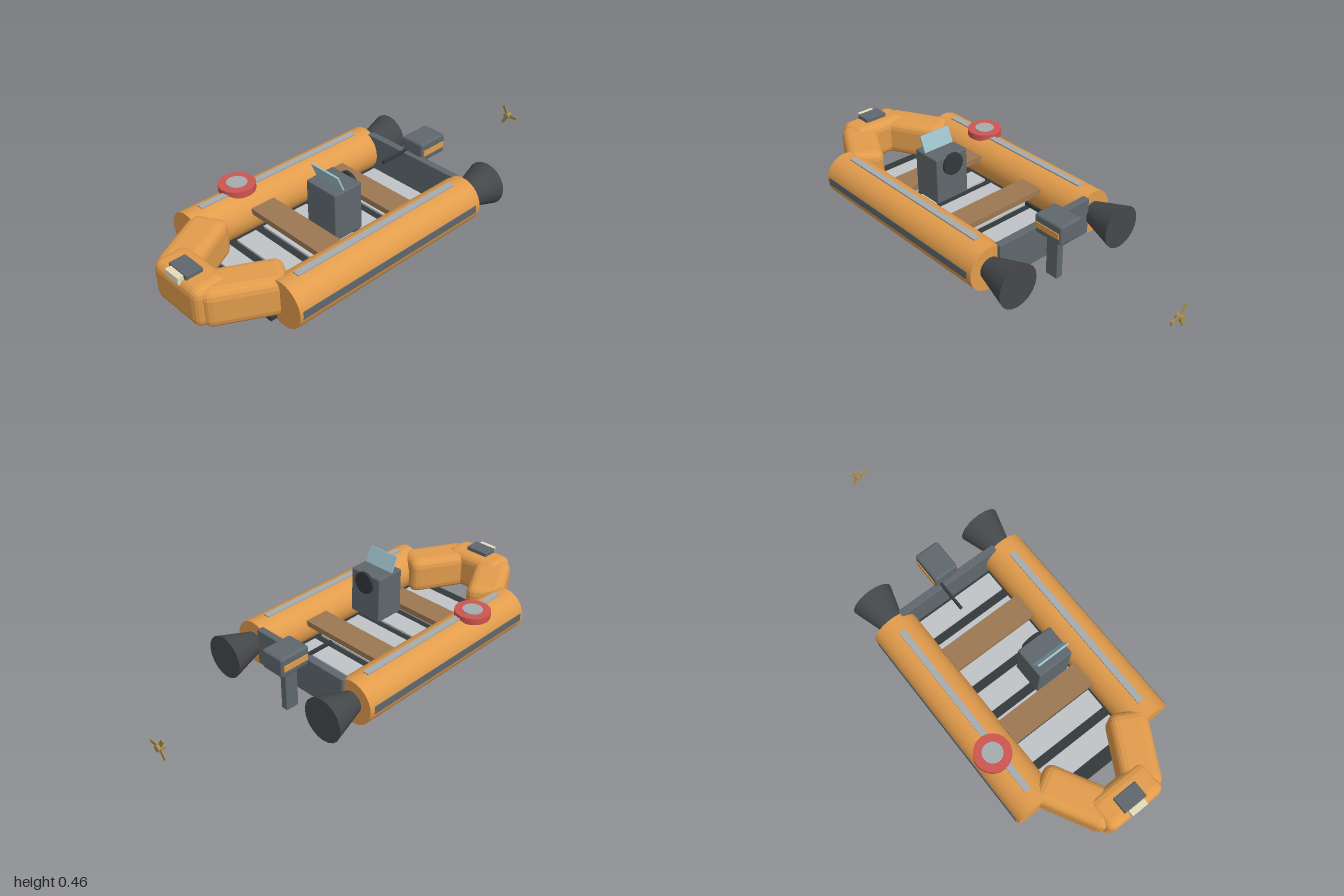
import * as THREE from 'three';
import { RoundedBoxGeometry } from 'three/addons/geometries/RoundedBoxGeometry.js';

const mat = (color, flatShading = false) => new THREE.MeshStandardMaterial({ color, flatShading });
const ORANGE = mat(0xe29c4c), ORANGE_FLAT = mat(0xe29c4c, true);
const GREY = mat(0x5f686d), DARK = mat(0x33383b), CONE = mat(0x45484b);
const LIGHT = mat(0xbfc4c7), STRIP = mat(0xa6abad), WOOD = mat(0x9c7852);
const RED = mat(0xcc5550), GLASS = mat(0x9cc0c8), CREAM = mat(0xe6dcbc), BRASS = mat(0xa58f55);

export function createModel() {
  const root = new THREE.Group();
  root.name = 'inflatableBoat';

  const add = (name, geometry, material, x, y, z, parent = root) => {
    const mesh = new THREE.Mesh(geometry, material);
    mesh.name = name;
    mesh.position.set(x, y, z);
    parent.add(mesh);
    return mesh;
  };
  // Box given by its [min, max] extent on each axis, with optional softened edges
  const box = (name, material, [x0, x1], [y0, y1], [z0, z1], round = 0) => {
    const size = [x1 - x0, y1 - y0, z1 - z0];
    const geometry = round ? new RoundedBoxGeometry(...size, 2, round) : new THREE.BoxGeometry(...size);
    return add(name, geometry, material, (x0 + x1) / 2, (y0 + y1) / 2, (z0 + z1) / 2);
  };
  // Cylinder lying along z; r0 is the radius at the rear end
  const cylinderZ = (rFront, rRear, z0, z1, sides) =>
    new THREE.CylinderGeometry(rFront, rRear, z1 - z0, sides).rotateX(Math.PI / 2);

  // Side tubes with their strips, stern cones and the angled bow sections
  for (const [side, s] of [['left', 1], ['right', -1]]) {
    add(side + 'Tube', cylinderZ(0.102, 0.102, -0.275, 0.735, 28), ORANGE, s * 0.302, 0.148, 0.23);
    add(side + 'SternCone', cylinderZ(0.05, 0.1, -0.44, -0.275, 20), CONE, s * 0.302, 0.15, -0.3575);
    add(side + 'TopStrip', new THREE.BoxGeometry(0.03, 0.014, 0.865), STRIP, s * 0.302, 0.248, 0.2325);
    add(side + 'RubStrake', new THREE.BoxGeometry(0.012, 0.035, 0.97), GREY, s * 0.399, 0.148, 0.235);
    const bow = add(side + 'BowSection', new RoundedBoxGeometry(0.17, 0.175, 0.33, 2, 0.04),
      ORANGE_FLAT, s * 0.158, 0.16, 0.8);
    bow.rotation.y = -s * 0.5;
  }
  box('bowNose', ORANGE_FLAT, [-0.147, 0.147], [0.075, 0.257], [0.84, 1], 0.04);

  // Bow lamp
  box('lampHousing', GREY, [-0.057, 0.057], [0.246, 0.276], [0.9, 0.975], 0.004);
  box('lampLens', CREAM, [-0.04, 0.04], [0.238, 0.27], [0.96, 0.985 + 0.017]);

  // Floor and slats
  box('floor', DARK, [-0.264, 0.264], [0.06, 0.076], [-0.28, 0.765]);
  for (let i = 0; i < 7; i++) {
    const z = -0.193 + i * 0.1415;
    box('floorSlat', LIGHT, [-0.205, 0.205], [0.074, 0.086], [z - 0.05, z + 0.05]);
  }

  // Bench seats
  for (const z of [0.015, 0.415])
    box('benchSeat', WOOD, [-0.21, 0.21], [0.172, 0.198], [z - 0.06, z + 0.06]);

  // Steering console
  box('console', GREY, [0.005, 0.175], [0.165, 0.385], [0.205, 0.35], 0.006);
  const screen = add('windscreen', new THREE.BoxGeometry(0.155, 0.085, 0.008), GLASS, 0.09, 0.415, 0.308);
  screen.rotation.x = 0.4;
  add('steeringWheel', cylinderZ(0.052, 0.052, 0, 0.014, 20), DARK, 0.09, 0.342, 0.2);

  // Life ring lying on the right tube
  add('lifeRing', new THREE.CylinderGeometry(0.081, 0.081, 0.03, 24), RED, -0.323, 0.254, 0.458);
  add('lifeRingCentre', new THREE.CylinderGeometry(0.045, 0.045, 0.034, 24), STRIP, -0.323, 0.256, 0.458);

  // Transom and outboard motor
  box('transom', GREY, [-0.26, 0.26], [0.066, 0.242], [-0.29, -0.256], 0.004);
  box('motorCowl', GREY, [-0.06, 0.06], [0.215, 0.307], [-0.43, -0.278], 0.012);
  box('motorBand', ORANGE, [-0.064, 0.064], [0.245, 0.272], [-0.418, -0.29]);
  box('motorLeg', GREY, [-0.017, 0.017], [0, 0.22], [-0.375, -0.31], 0.004);
  box('tiller', DARK, [-0.041, -0.029], [0.235, 0.249], [-0.285, -0.13]);

  // Propeller: hub and three blades
  const propeller = new THREE.Group();
  propeller.name = 'propeller';
  propeller.position.set(0, 0.165, -0.985);
  root.add(propeller);
  add('propellerHub', cylinderZ(0.015, 0.015, -0.015, 0.015, 12), BRASS, 0, 0, 0, propeller);
  for (let i = 0; i < 3; i++) {
    const blade = new THREE.BoxGeometry(0.05, 0.016, 0.006).translate(0.03, 0, 0);
    add('propellerBlade', blade, BRASS, 0, 0, 0, propeller).rotation.z = (i * Math.PI * 2) / 3;
  }
  return root;
}
